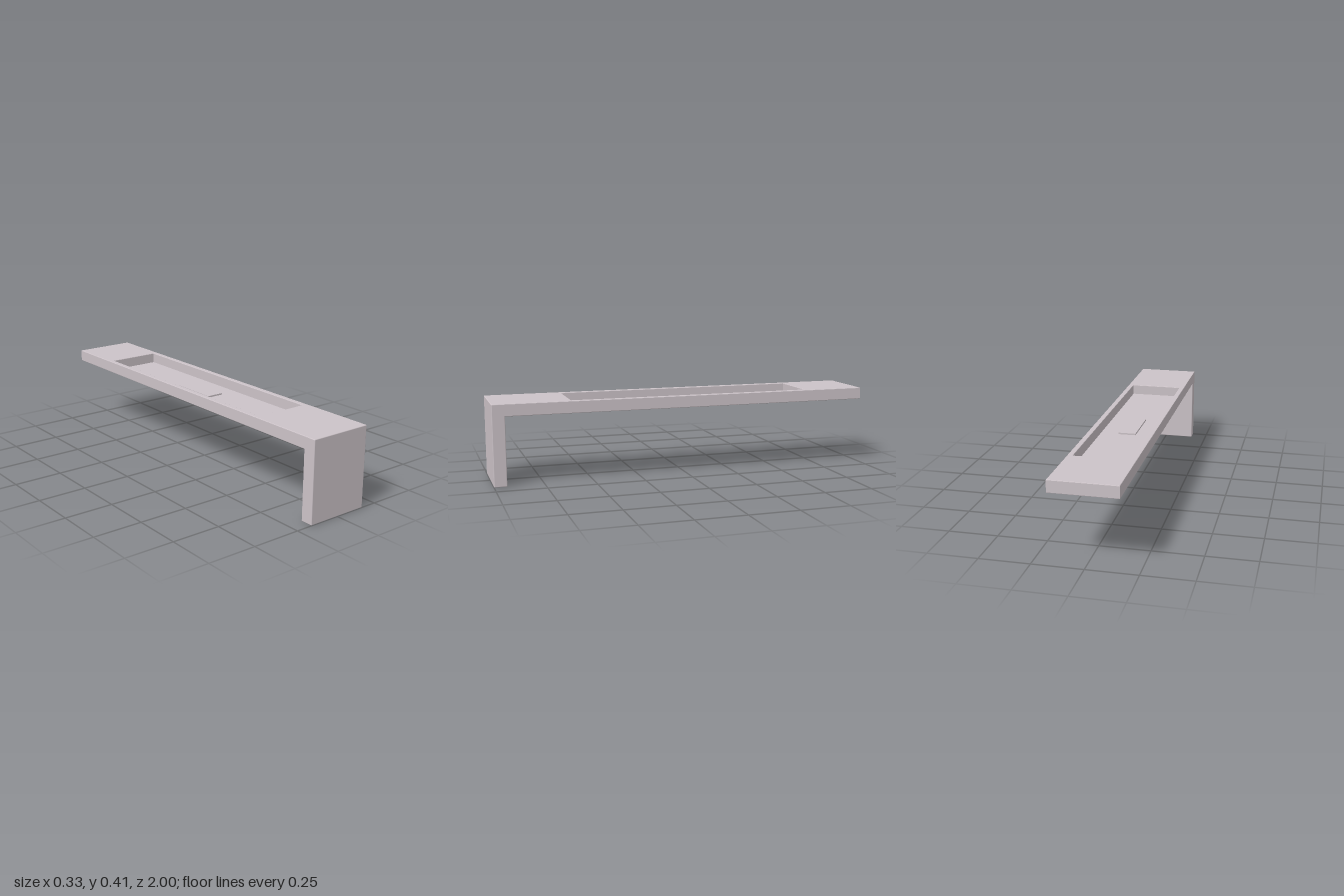
import * as THREE from 'three';
import { RoundedBoxGeometry } from 'three/addons/geometries/RoundedBoxGeometry.js';

const material = new THREE.MeshStandardMaterial({ color: 0xccc3c8 });
const TOP = 0.412, UNDER = 0.35, FLOOR = 0.358, HALF = 0.165, BEVEL = 0.003;

// Rectangle in plan; shape y becomes -z once laid flat
function rectangle(PathType, halfWidth, zBack, zFront) {
  return new PathType([
    new THREE.Vector2(-halfWidth, -zFront),
    new THREE.Vector2(halfWidth, -zFront),
    new THREE.Vector2(halfWidth, -zBack),
    new THREE.Vector2(-halfWidth, -zBack),
  ]);
}

function addPart(group, name, geometry, x = 0, y = 0, z = 0) {
  const mesh = new THREE.Mesh(geometry, material);
  mesh.name = name;
  mesh.position.set(x, y, z);
  group.add(mesh);
}

export function createModel() {
  const group = new THREE.Group();
  group.name = 'bracketArm';

  // Long arm with a rectangular opening; its front end sits inside the leg
  const outline = rectangle(THREE.Shape, HALF, -1, 0.965);
  outline.holes.push(rectangle(THREE.Path, 0.138, -0.675, 0.603));
  const arm = new THREE.ExtrudeGeometry(outline, {
    depth: TOP - UNDER - 2 * BEVEL,
    bevelThickness: BEVEL, bevelSize: BEVEL, bevelOffset: -BEVEL, bevelSegments: 2,
  });
  arm.rotateX(-Math.PI / 2);
  addPart(group, 'arm', arm, 0, UNDER + BEVEL, 0);

  // Thin floor closing the opening from below
  const floor = new THREE.BoxGeometry(0.276 + 2 * BEVEL, FLOOR - UNDER, 1.278 + 2 * BEVEL);
  addPart(group, 'recessFloor', floor, 0, (FLOOR + UNDER) / 2, -0.036);

  // Raised pad in the middle of the recess
  addPart(group, 'pad', new THREE.BoxGeometry(0.09, 0.012, 0.255), 0, 0.36, -0.037);

  // Upright leg at the front, full height
  const leg = new RoundedBoxGeometry(2 * HALF, TOP, 0.065, 3, 0.004);
  addPart(group, 'leg', leg, 0, TOP / 2, 1 - 0.0325);

  return group;
}
